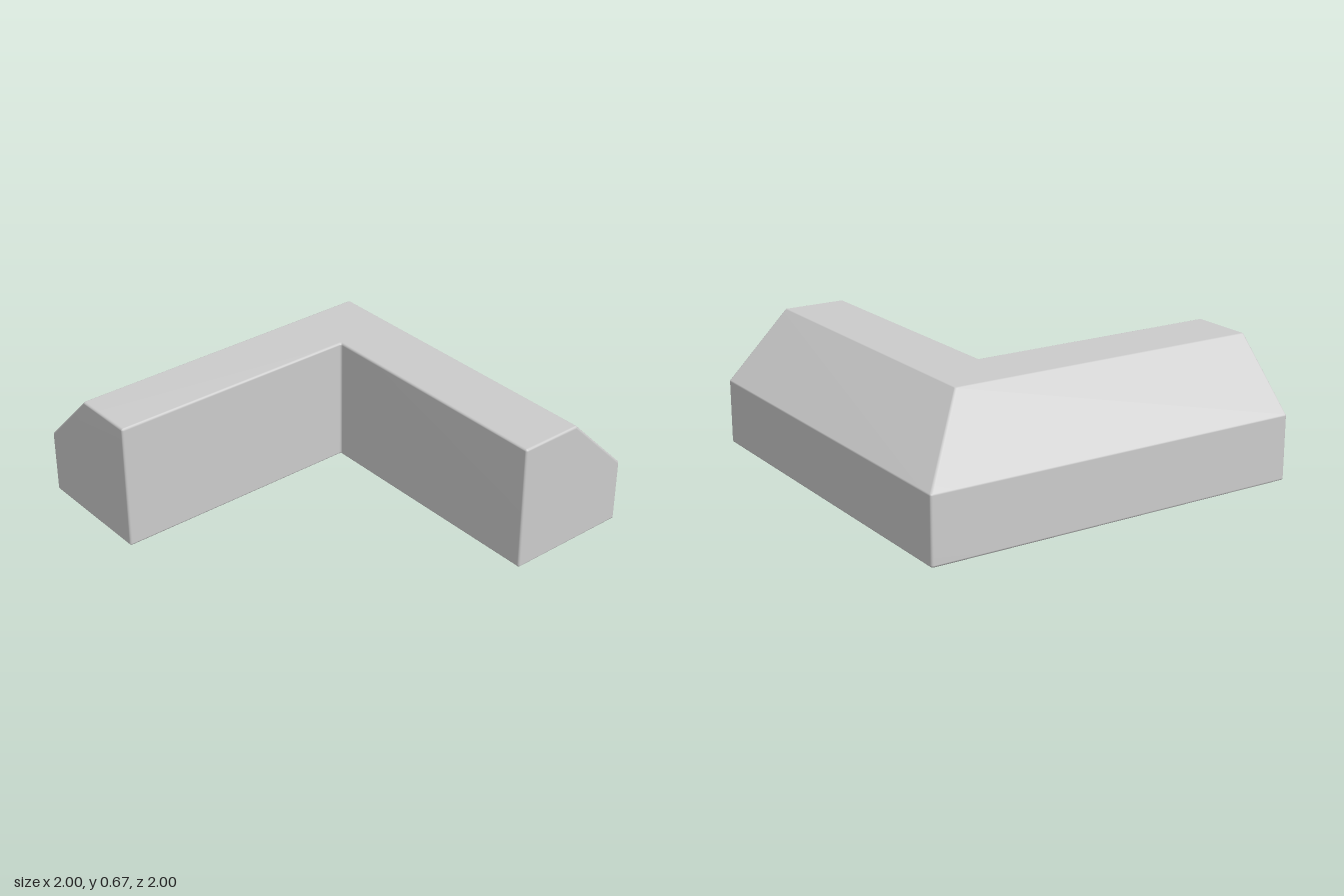
import * as THREE from 'three';
import { mergeVertices } from 'three/addons/utils/BufferGeometryUtils.js';

const R = 0.012;   // edge rounding
const STEPS = 3;   // segments per rounded edge
const T = 2 / 3;   // width and height of the bar

// Cross-section: x = distance in from the outer wall, y = height, counter-clockwise
const section = [[0, 0], [T, 0], [T, T], [T / 2, T], [0, T / 2]].map(p => new THREE.Vector2(...p));

// Each rounded corner as an inset centre plus unit directions fanning between edge normals
function roundedSection() {
  const n = section.length;
  const normal = i => {
    const e = section[(i + 1) % n].clone().sub(section[i % n]).normalize();
    return new THREE.Vector2(e.y, -e.x);
  };
  return section.flatMap((p, i) => {
    const n1 = normal(i + n - 1), n2 = normal(i);
    const centre = p.clone().addScaledVector(n1.clone().add(n2), -R / (1 + n1.dot(n2)));
    const turn = Math.acos(n1.dot(n2));
    return Array.from({ length: STEPS + 1 }, (_, k) => ({
      centre, dir: n1.clone().rotateAround(new THREE.Vector2(), turn * k / STEPS),
    }));
  });
}

function mitredBar() {
  const loop = roundedSection(), n = loop.length;
  const positions = [], index = [];
  const addRing = (radius, place) => {
    for (const { centre, dir } of loop) {
      const p = centre.clone().addScaledVector(dir, radius);
      const [x, z] = place(p.x);
      positions.push(x, p.y, z);
    }
  };
  const steps = Array.from({ length: STEPS + 1 }, (_, k) => (k / STEPS) * Math.PI / 2);

  // Rounded front end, mitred corner, rounded side end
  for (const a of [...steps].reverse())
    addRing(R * Math.cos(a), d => [-1 + d, 1 - R + R * Math.sin(a)]);
  for (const a of steps)
    addRing(R, d => [-1 + d + R * (1 - Math.cos(a)), -1 + d + R * (1 - Math.sin(a))]);
  for (const a of steps)
    addRing(R * Math.cos(a), d => [1 - R + R * Math.sin(a), -1 + d]);

  // Skin between rings, then flat end caps
  const rings = positions.length / 3 / n;
  for (let r = 0; r < rings - 1; r++) {
    for (let i = 0; i < n; i++) {
      const j = (i + 1) % n, a = r * n + i, b = r * n + j;
      index.push(a, a + n, b, b, a + n, b + n);
    }
  }
  const last = (rings - 1) * n;
  for (let i = 1; i < n - 1; i++) {
    index.push(0, i, i + 1);
    index.push(last, last + i + 1, last + i);
  }

  const geometry = new THREE.BufferGeometry();
  geometry.setAttribute('position', new THREE.Float32BufferAttribute(positions, 3));
  geometry.setIndex(index);
  const merged = mergeVertices(geometry, 1e-5);
  merged.computeVertexNormals();
  return merged;
}

export function createModel() {
  const group = new THREE.Group();
  group.name = 'cornerBlock';
  const bar = new THREE.Mesh(mitredBar(), new THREE.MeshStandardMaterial({ color: 0xcccccc }));
  bar.name = 'chamferedCornerBar';
  group.add(bar);
  return group;
}
